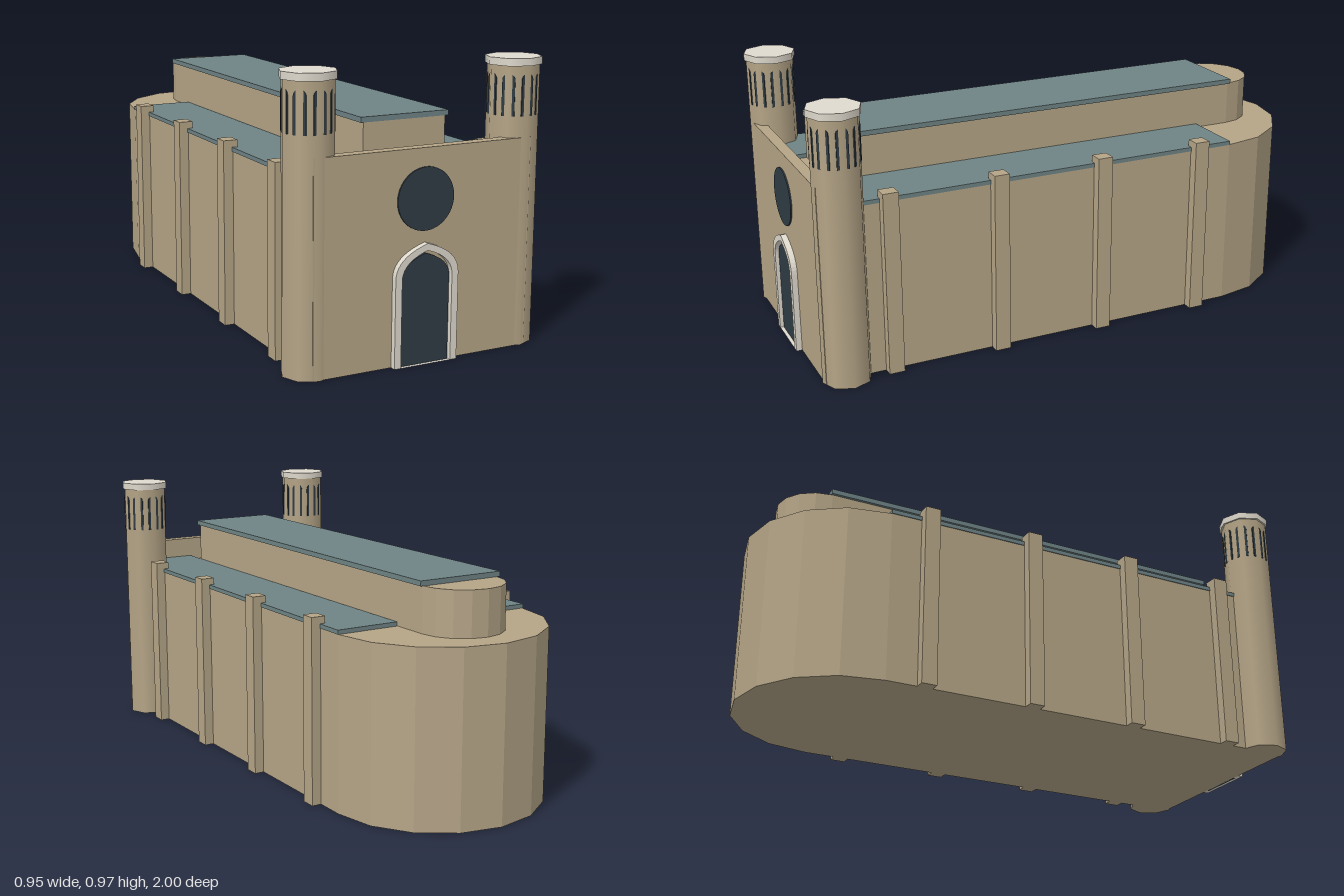
import * as THREE from 'three';

const stone = new THREE.MeshStandardMaterial({ color: 0xb5a587 });
const slate = new THREE.MeshStandardMaterial({ color: 0x6f8385 });
const dark = new THREE.MeshStandardMaterial({ color: 0x2f3b43 });
const trim = new THREE.MeshStandardMaterial({ color: 0xe0dace });

function add(parent, name, geometry, material, x = 0, y = 0, z = 0) {
  const mesh = new THREE.Mesh(geometry, material);
  mesh.name = name;
  mesh.position.set(x, y, z);
  parent.add(mesh);
  return mesh;
}

// Box given by its lower and upper corners
function addBox(parent, name, material, [x0, y0, z0], [x1, y1, z1]) {
  return add(parent, name, new THREE.BoxGeometry(x1 - x0, y1 - y0, z1 - z0), material,
    (x0 + x1) / 2, (y0 + y1) / 2, (z0 + z1) / 2);
}

// Hall with a straight front and a half-round, faceted back end
function hallGeometry(radius, front, arcZ, height) {
  const plan = new THREE.Shape();
  plan.moveTo(-radius, -front);
  plan.lineTo(radius, -front);
  plan.lineTo(radius, -arcZ);
  plan.absarc(0, -arcZ, radius, 0, Math.PI, false);
  plan.closePath();
  return new THREE.ExtrudeGeometry(plan, { depth: height, bevelEnabled: false, curveSegments: 4 })
    .rotateX(-Math.PI / 2);
}

// Slightly pointed arch outline standing on y = 0
function archPath(path, w, spring, apex) {
  const shoulder = spring + (apex - spring) * 0.68;
  path.moveTo(-w, 0);
  path.lineTo(w, 0);
  path.lineTo(w, spring);
  path.quadraticCurveTo(w, shoulder, 0, apex);
  path.quadraticCurveTo(-w, shoulder, -w, spring);
  path.closePath();
  return path;
}

const extrudeArch = (shape, depth) =>
  new THREE.ExtrudeGeometry(shape, { depth, bevelEnabled: false, curveSegments: 10 });

// Eight-sided tower with a ring of blind arches and a cap
function createTower(name) {
  const tower = new THREE.Group();
  tower.name = name;
  add(tower, 'towerShaft', new THREE.CylinderGeometry(0.087, 0.087, 0.945, 8), stone, 0, 0.4725);
  add(tower, 'towerCap', new THREE.CylinderGeometry(0.094, 0.094, 0.025, 8), trim, 0, 0.9575);
  const niche = new THREE.Shape();
  niche.moveTo(-0.021, 0);
  niche.lineTo(0.021, 0);
  niche.lineTo(0.021, 0.119);
  niche.absarc(0, 0.119, 0.021, 0, Math.PI, false);
  const nicheGeometry = extrudeArch(niche, 0.02).translate(0, 0.78, 0.062);
  for (let i = 0; i < 8; i++) {
    add(tower, 'belfryArch', nicheGeometry, dark).rotation.y = i * Math.PI / 4;
  }
  return tower;
}

export function createModel() {
  const model = new THREE.Group();
  model.name = 'church';

  // Main body with apse, and the raised nave above it
  add(model, 'bodyAndApse', hallGeometry(0.388, 0.94, -0.612, 0.62), stone);
  add(model, 'upperNave', hallGeometry(0.153, 0.845, -0.75, 0.16), stone, 0, 0.62);
  addBox(model, 'naveRoof', slate, [-0.164, 0.78, -0.755], [0.164, 0.798, 0.848]);

  // Side roofs, buttresses and towers, mirrored
  for (const s of [-1, 1]) {
    const side = s > 0 ? 'left' : 'right';
    add(model, side + 'AisleRoof', new THREE.BoxGeometry(0.235, 0.015, 1.552), slate,
      s * 0.2735, 0.6275, 0.164);
    for (let i = 0; i < 4; i++) {
      add(model, side + 'Buttress', new THREE.BoxGeometry(0.052, 0.66, 0.056), stone,
        s * 0.397, 0.33, 0.732 - i * 0.4015);
    }
    const tower = createTower(side + 'Tower');
    tower.position.set(s * 0.379, 0, 0.899);
    model.add(tower);
  }

  // Front wall with round window
  addBox(model, 'facade', stone, [-0.4, 0, 0.939], [0.4, 0.71, 0.979]);
  add(model, 'roseWindow', new THREE.CylinderGeometry(0.104, 0.104, 0.01, 48).rotateX(Math.PI / 2),
    dark, 0, 0.545, 0.979);

  // Portal frame and door
  const frame = archPath(new THREE.Shape(), 0.117, 0.295, 0.403);
  frame.holes.push(archPath(new THREE.Path(), 0.093, 0.29, 0.38));
  add(model, 'portalFrame', extrudeArch(frame, 0.025), trim, 0, 0, 0.975);
  add(model, 'door', extrudeArch(archPath(new THREE.Shape(), 0.09, 0.285, 0.368), 0.012), dark, 0, 0, 0.975);

  return model;
}
